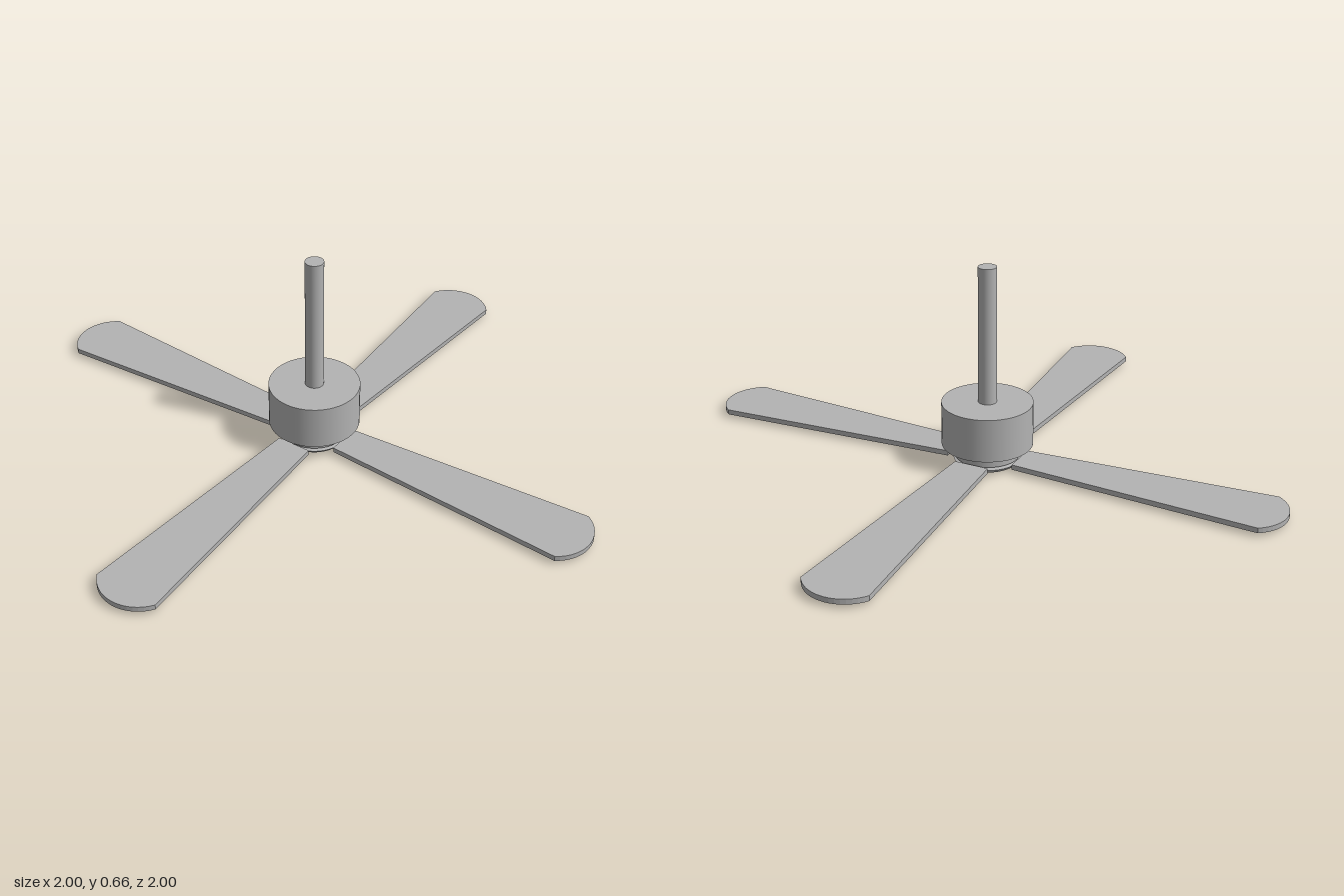
import * as THREE from 'three';

export function createModel() {
  const group = new THREE.Group();
  group.name = 'ceilingFan';
  const grey = new THREE.MeshStandardMaterial({ color: 0xb3b3b3 });
  grey.name = 'grey';

  const add = (name, geometry, parent = group) => {
    const mesh = new THREE.Mesh(geometry, grey);
    mesh.name = name;
    parent.add(mesh);
    return mesh;
  };
  const drum = (name, rTop, rBottom, y0, y1) => {
    add(name, new THREE.CylinderGeometry(rTop, rBottom, y1 - y0, 48)).position.y = (y0 + y1) / 2;
  };
  // Flat plate from an outline in (radius, width), lying between y0 and y1
  const plate = (shape, y0, y1) => {
    const g = new THREE.ExtrudeGeometry(shape, { depth: y1 - y0, bevelEnabled: false, curveSegments: 8 });
    return g.rotateX(-Math.PI / 2).translate(0, y0, 0);
  };

  // Rod, motor housing and lower hub
  drum('downRod', 0.03, 0.03, 0.2, 0.66);
  drum('motorHousing', 0.148, 0.148, 0.06, 0.205);
  drum('lowerHub', 0.105, 0.105, 0.02, 0.06);
  drum('hubFlare', 0.085, 0.11, 0.012, 0.02);
  drum('bottomCap', 0.11, 0.1, 0, 0.012);

  // Tapered blade with a rounded tip
  const blade = new THREE.Shape();
  blade.moveTo(0.115, -0.058);
  blade.lineTo(0.94, -0.11);
  blade.absarc(0.869, 0, 0.131, -0.997, 0.997, false);
  blade.lineTo(0.115, 0.058);
  blade.closePath();
  const bladeGeometry = plate(blade, 0.012, 0.029);

  // Bracket: an arm that spreads into three short fingers
  const half = [
    [0.08, 0.022], [0.115, 0.014], [0.132, 0.02], [0.14, 0.042],
    [0.165, 0.05], [0.172, 0.038], [0.156, 0.03], [0.155, 0.012], [0.18, 0.01], [0.19, 0.004],
  ];
  const outline = [...half, ...half.map(([r, w]) => [r, -w]).reverse()];
  const bracketGeometry = plate(
    new THREE.Shape(outline.map(([r, w]) => new THREE.Vector2(r, w))), 0.005, 0.013);

  for (let i = 0; i < 4; i++) {
    const arm = new THREE.Group();
    arm.name = 'bladeArm' + (i + 1);
    arm.rotation.y = (i * Math.PI) / 2;
    add('blade', bladeGeometry, arm);
    add('bladeBracket', bracketGeometry, arm);
    group.add(arm);
  }
  return group;
}
